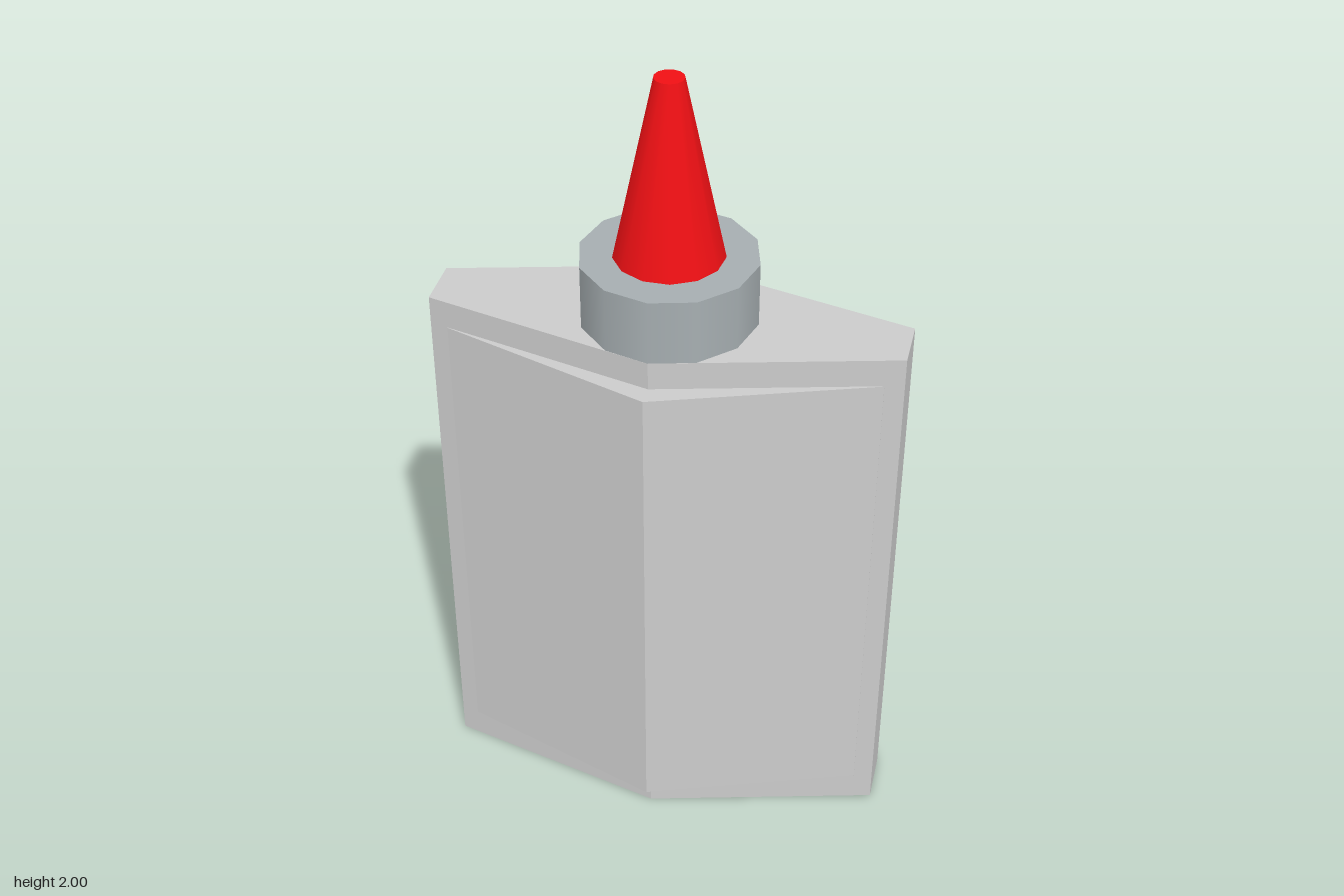
import * as THREE from 'three';

// Upright prism with a flattened six-sided footprint
function hexPrism(halfWidth, sideZ, ridgeZ, y0, y1) {
  const outline = new THREE.Shape([
    [halfWidth, -sideZ], [halfWidth, sideZ], [0, ridgeZ],
    [-halfWidth, sideZ], [-halfWidth, -sideZ], [0, -ridgeZ],
  ].map(([x, z]) => new THREE.Vector2(x, z)));
  return new THREE.ExtrudeGeometry(outline, { depth: y1 - y0, bevelEnabled: false })
    .rotateX(-Math.PI / 2)
    .translate(0, y0, 0);
}

// Upright round part between two heights, with a corner at the back
function turned(topRadius, bottomRadius, y0, y1, sides) {
  return new THREE.CylinderGeometry(topRadius, bottomRadius, y1 - y0, sides, 1, false, Math.PI)
    .translate(0, (y0 + y1) / 2, 0);
}

export function createModel() {
  const model = new THREE.Group();
  model.name = 'glueBottle';

  const grey = new THREE.MeshStandardMaterial({ color: 0xcccccc });
  const capGrey = new THREE.MeshStandardMaterial({ color: 0xa6aeb1 });
  const red = new THREE.MeshStandardMaterial({ color: 0xf01014 });

  const add = (name, geometry, material) => {
    const mesh = new THREE.Mesh(geometry, material);
    mesh.name = name;
    model.add(mesh);
  };

  // Bottle, and the raised label panels that wrap its front and back
  add('bottle', hexPrism(0.56, 0.065, 0.21, 0, 1.4), grey);
  add('labelPanels', hexPrism(0.515, 0.078, 0.26, 0.077, 1.33), grey);

  // Collar and tapered nozzle
  add('collar', turned(0.21, 0.21, 1.4, 1.56, 12), capGrey);
  add('nozzle', turned(0.035, 0.13, 1.56, 2, 13), red);

  return model;
}
